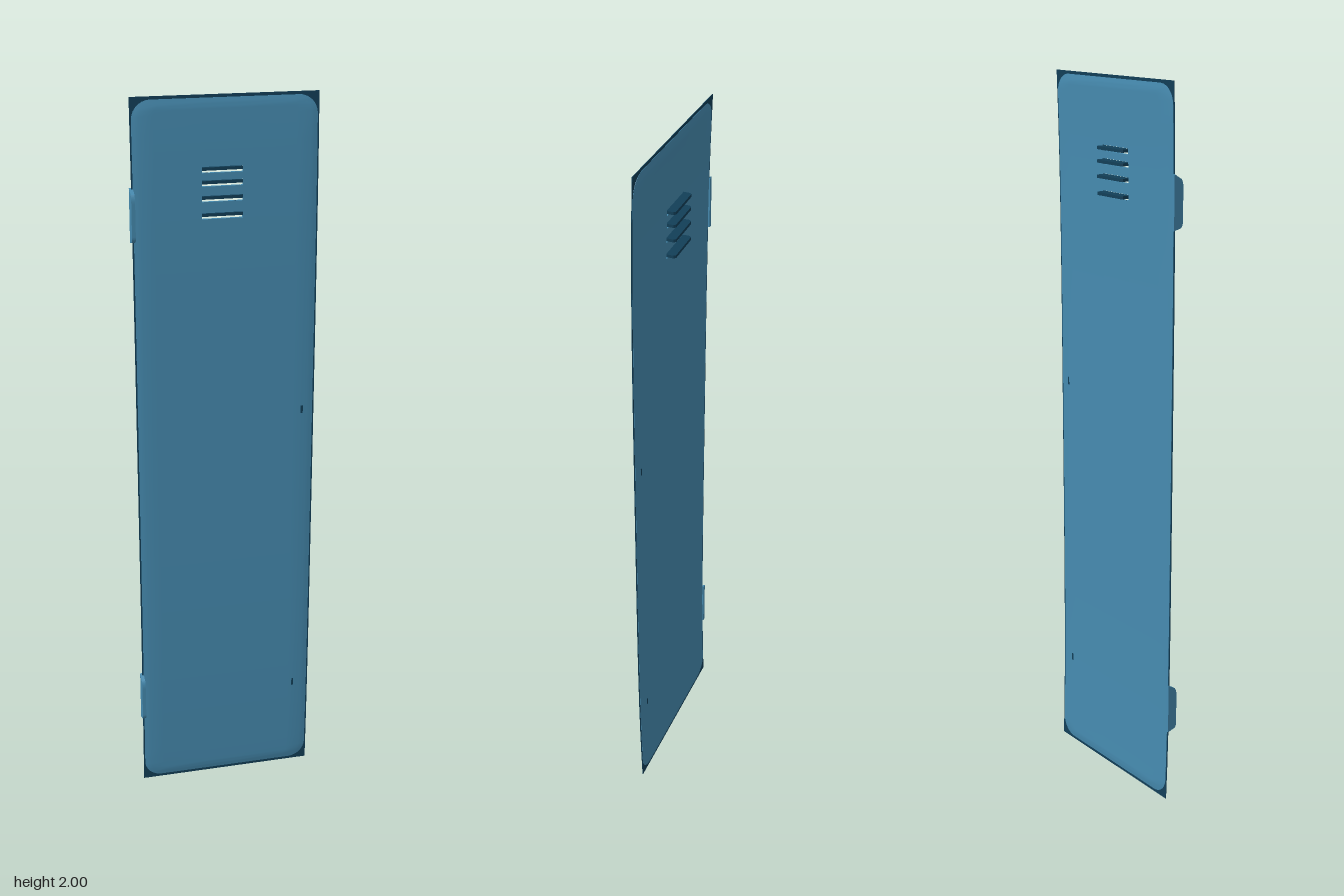
import * as THREE from 'three';
import { toCreasedNormals } from 'three/addons/utils/BufferGeometryUtils.js';

const SLOTS = [1.69, 1.735, 1.775, 1.81];   // vent slot heights
const SLOT_H = 0.008;                       // half height of a slot
const SLOT_X = [-0.065, 0.045];

// gentle bow of the whole door
const bow = (x, y) => 0.004 - 0.009 * Math.pow(Math.abs(y - 1), 4) + 0.008 * x;

// thin bowed sheet with rounded corners, tapered edges and open vent slots
function sheet(hw, hh, r, edge, thick) {
  const ys = [];
  const n = r > 0 ? 10 : 1;
  for (let i = 0; i <= n; i++) {
    const d = r * (1 - Math.cos((i / n) * Math.PI / 2));
    ys.push(1 - hh + d, 1 + hh - d);
  }
  for (let y = 0.1; y < 1.65; y += 0.1) ys.push(y);
  ys.push(1.88);
  SLOTS.forEach(s => ys.push(s - SLOT_H, s + SLOT_H));
  const rows = [...new Set(ys)].sort((a, b) => a - b);
  const cols = [-hw, -hw + 0.008, -hw + 0.018, -0.19, ...SLOT_X, 0.19, hw - 0.018, hw - 0.008, hw];

  const point = (i, j, side) => {
    const y = rows[j];
    const over = Math.max(0, Math.abs(y - 1) - (hh - r));
    const w = hw - r + Math.sqrt(Math.max(0, r * r - over * over));
    const x = cols[i] * w / hw;
    const qx = Math.abs(x) - hw + r, qy = Math.abs(y - 1) - hh + r;
    const inside = -(Math.hypot(Math.max(qx, 0), Math.max(qy, 0)) + Math.min(Math.max(qx, qy), 0) - r);
    const t = edge + (thick - edge) * Math.min(1, Math.max(0, inside) / 0.018);
    return [x, y, bow(x, y) + side * t];
  };
  const solid = (i, j) => {
    if (i < 0 || j < 0 || i >= cols.length - 1 || j >= rows.length - 1) return false;
    const mid = (rows[j] + rows[j + 1]) / 2;
    return !(cols[i] === SLOT_X[0] && SLOTS.some(s => Math.abs(mid - s) < SLOT_H));
  };
  const pos = [];
  const quad = (a, b, c, d) => pos.push(...a, ...b, ...c, ...a, ...c, ...d);

  for (let j = 0; j < rows.length - 1; j++) {
    for (let i = 0; i < cols.length - 1; i++) {
      if (!solid(i, j)) continue;
      const corners = [[i, j], [i + 1, j], [i + 1, j + 1], [i, j + 1]];
      const f = corners.map(c => point(...c, 1));
      const b = corners.map(c => point(...c, -1));
      quad(...f);
      quad(b[3], b[2], b[1], b[0]);
      // walls at the rim and around the slots
      [[i, j - 1], [i + 1, j], [i, j + 1], [i - 1, j]].forEach((nb, k) => {
        const m = (k + 1) % 4;
        if (!solid(...nb)) quad(b[k], b[m], f[m], f[k]);
      });
    }
  }
  const geo = new THREE.BufferGeometry();
  geo.setAttribute('position', new THREE.Float32BufferAttribute(pos, 3));
  return toCreasedNormals(geo, 0.6);
}

export function createModel() {
  const blue = new THREE.MeshStandardMaterial({ color: 0x468bb0 });
  blue.name = 'steel blue';
  const dark = new THREE.MeshStandardMaterial({ color: 0x123f58 });
  dark.name = 'dark blue';

  const group = new THREE.Group();
  group.name = 'lockerDoor';
  const add = (name, geo, mat, x = 0, y = 0, z = 0) => {
    const mesh = new THREE.Mesh(geo, mat);
    mesh.name = name;
    mesh.position.set(x, y, z);
    group.add(mesh);
    return mesh;
  };

  // door: rounded skin over a square-cornered backing sheet
  add('doorSkin', sheet(0.246, 0.992, 0.05, 0.0015, 0.0045), blue);
  add('backingSheet', sheet(0.25, 1, 0, 0.0008, 0.0008), dark);

  // louvre fins running back from the slots
  const fin = new THREE.Shape();
  fin.moveTo(SLOT_X[0], 0.004);
  fin.lineTo(SLOT_X[0], -0.021);
  fin.lineTo(SLOT_X[0] + 0.005, -0.026);
  fin.lineTo(SLOT_X[1] - 0.005, -0.026);
  fin.lineTo(SLOT_X[1], -0.021);
  fin.lineTo(SLOT_X[1], 0.004);
  const finGeo = new THREE.ExtrudeGeometry(fin, { depth: 0.008, bevelEnabled: false });
  finGeo.rotateX(Math.PI / 2);   // shape y becomes z, depth runs down
  SLOTS.forEach((y, i) => add('louvre' + (i + 1), finGeo, dark, 0, y + 0.006, 0));

  // hinge tabs folded forward on the right edge
  const tab = new THREE.Shape();
  tab.moveTo(0.006, -0.072);
  tab.lineTo(-0.016, -0.066);
  tab.quadraticCurveTo(-0.023, -0.062, -0.023, -0.05);
  tab.lineTo(-0.023, 0.035);
  tab.quadraticCurveTo(-0.023, 0.05, -0.017, 0.058);
  tab.lineTo(0.006, 0.072);
  const tabGeo = new THREE.ExtrudeGeometry(tab, { depth: 0.01, bevelEnabled: false });
  tabGeo.rotateY(Math.PI / 2);   // shape -x becomes +z, depth runs along +x
  [0.285, 1.7].forEach((y, i) => {
    add(i ? 'upperHinge' : 'lowerHinge', tabGeo, blue, -0.255, y, 0);
  });

  // small latch marks through the free edge
  [[0.215, 1.135], [0.203, 0.272]].forEach(([x, y], i) => {
    add('latchMark' + (i + 1), new THREE.BoxGeometry(0.006, 0.022, 0.0098), dark, x, y, bow(x, y));
  });

  return group;
}
